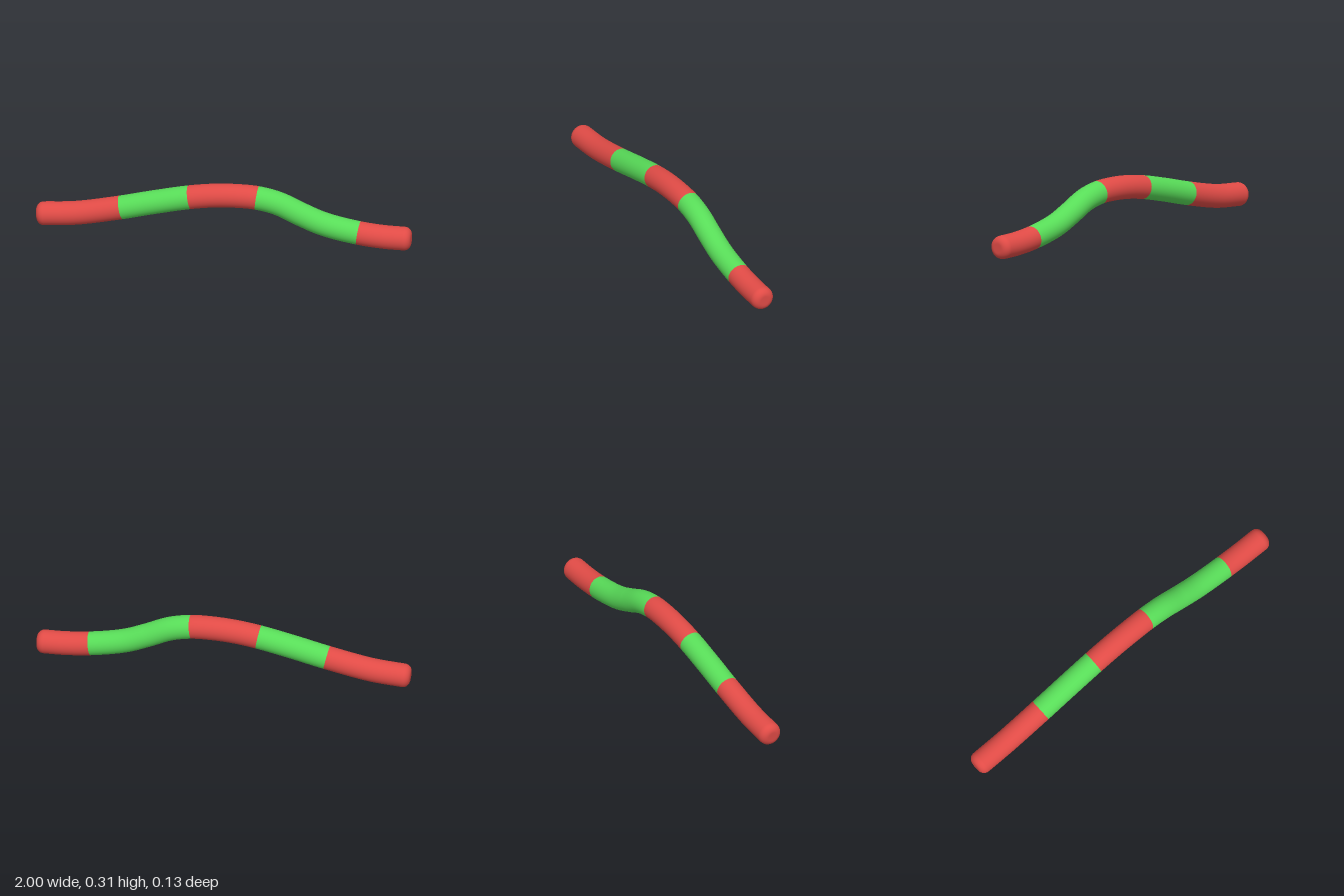
import * as THREE from 'three';

const RADIUS = 0.063;
const ROUND = 0.038; // rounding of the end edges

// Centre line of the bent rod
const path = new THREE.CatmullRomCurve3([
  [-0.962, 0.067], [-0.79, 0.083], [-0.55, 0.133], [-0.37, 0.178], [-0.184, 0.22],
  [-0.05, 0.24], [0.08, 0.247], [0.18, 0.243], [0.29, 0.219], [0.41, 0.166],
  [0.53, 0.119], [0.715, 0.081], [0.85, 0.068], [0.962, 0.066],
].map(([x, y]) => new THREE.Vector3(x, y, 0)));
path.arcLengthDivisions = 600;

// A stretch of the centre line
class Stretch extends THREE.Curve {
  constructor(from, to) {
    super();
    this.from = from;
    this.to = to;
  }
  map(t) { return this.from + (this.to - this.from) * t; }
  getPoint(t, target = new THREE.Vector3()) { return path.getPointAt(this.map(t), target); }
  getTangent(t, target = new THREE.Vector3()) { return path.getTangentAt(this.map(t), target); }
}

// Position along the path where it reaches a given x
function alongAtX(x) {
  let lo = 0, hi = 1;
  for (let i = 0; i < 40; i++) {
    const mid = (lo + hi) / 2;
    if (path.getPointAt(mid).x < x) lo = mid; else hi = mid;
  }
  return (lo + hi) / 2;
}

export function createModel() {
  const group = new THREE.Group();
  group.name = 'bentRod';
  const red = new THREE.MeshStandardMaterial({ color: 0xe04b46 });
  red.name = 'red';
  const green = new THREE.MeshStandardMaterial({ color: 0x58dc58 });
  green.name = 'green';

  // Alternating coloured bands
  const stops = [0, alongAtX(-0.55), alongAtX(-0.184), alongAtX(0.176), alongAtX(0.717), 1];
  const names = ['rightEndBand', 'rightBand', 'middleBand', 'leftBand', 'leftEndBand'];
  names.forEach((name, i) => {
    const tube = new THREE.TubeGeometry(new Stretch(stops[i], stops[i + 1]), 32, RADIUS, 48);
    const mesh = new THREE.Mesh(tube, i % 2 ? green : red);
    mesh.name = name;
    group.add(mesh);
  });

  // Rounded end caps
  const profile = [];
  for (let i = 0; i <= 10; i++) {
    const a = (i / 10) * Math.PI / 2;
    profile.push(new THREE.Vector2(RADIUS - ROUND + ROUND * Math.cos(a), ROUND * Math.sin(a)));
  }
  profile.push(new THREE.Vector2(0.012, ROUND), new THREE.Vector2(0, ROUND));
  const capGeometry = new THREE.LatheGeometry(profile, 48);
  for (const [name, u, side] of [['rightCap', 0, -1], ['leftCap', 1, 1]]) {
    const cap = new THREE.Mesh(capGeometry, red);
    cap.name = name;
    cap.position.copy(path.getPointAt(u));
    const outward = path.getTangentAt(u).multiplyScalar(side);
    cap.quaternion.setFromUnitVectors(new THREE.Vector3(0, 1, 0), outward);
    group.add(cap);
  }
  return group;
}
